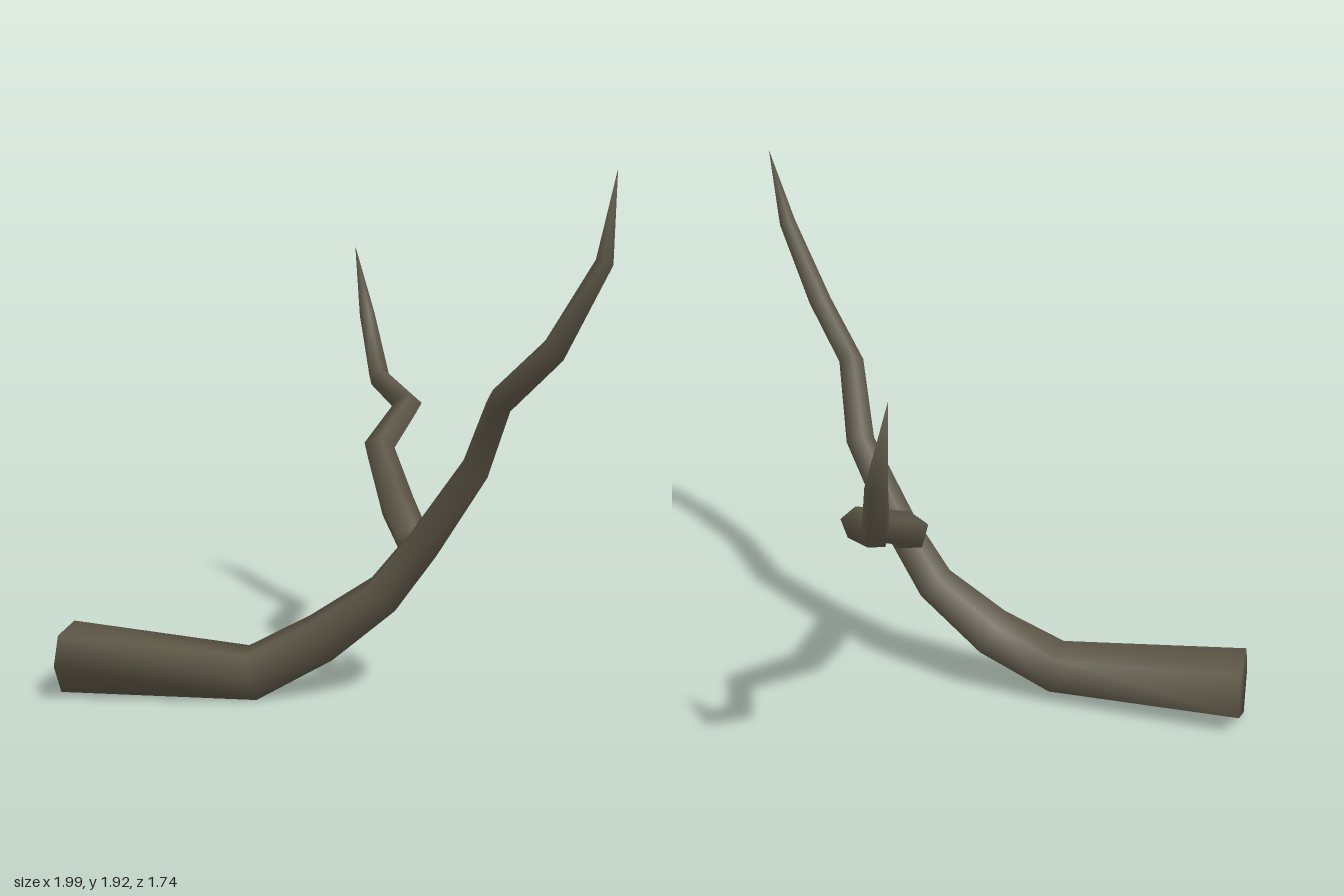
import * as THREE from 'three';

const bark = new THREE.MeshStandardMaterial({ color: 0x5d5747 });
bark.name = 'bark';
bark.side = THREE.DoubleSide;

// Tapering limb: five-sided rings carried along a path of [x, y, z, radius]; the last point is the tip.
function limb(name, path, angles) {
  const pts = path.map(([x, y, z]) => new THREE.Vector3(x, y, z));
  const n = angles.length, last = pts.length - 1;
  const pos = [], index = [];
  let side = null;
  for (let i = 0; i < last; i++) {
    const t = pts[i + 1].clone().sub(pts[i]).normalize();
    if (i > 0) t.add(pts[i].clone().sub(pts[i - 1]).normalize()).normalize();
    if (!side) side = new THREE.Vector3().crossVectors(t, new THREE.Vector3(0, 1, 0));
    side.addScaledVector(t, -side.dot(t)).normalize();
    const up = new THREE.Vector3().crossVectors(side, t);
    for (const deg of angles) {
      const a = THREE.MathUtils.degToRad(deg), r = path[i][3];
      const p = pts[i].clone().addScaledVector(side, r * Math.cos(a)).addScaledVector(up, r * Math.sin(a));
      pos.push(p.x, p.y, p.z);
    }
  }
  const tip = last * n;
  pos.push(...pts[last].toArray());
  for (let i = 0; i < last; i++) {
    for (let j = 0; j < n; j++) {
      const k = (j + 1) % n, a = i * n + j, b = i * n + k;
      if (i === last - 1) index.push(a, tip, b);
      else index.push(a, a + n, b, b, a + n, b + n);
    }
  }
  // cut end
  for (let j = 1; j < n - 1; j++) index.push(0, j, j + 1);

  const geo = new THREE.BufferGeometry();
  geo.setAttribute('position', new THREE.Float32BufferAttribute(pos, 3));
  geo.setIndex(index);
  geo.computeVertexNormals();
  const mesh = new THREE.Mesh(geo, bark);
  mesh.name = name;
  return mesh;
}

export function createModel() {
  const group = new THREE.Group();
  group.name = 'branch';

  // thick cut end, bend on the ground, then rising to a pointed tip
  group.add(limb('mainBranch', [
    [-0.92, 0.15, 0.755, 0.143],
    [-0.345, 0.105, 0.345, 0.11],
    [-0.16, 0.235, 0.175, 0.102],
    [0.035, 0.405, 0.05, 0.083],
    [0.19, 0.61, 0.0, 0.072],
    [0.4, 0.9, -0.03, 0.06],
    [0.57, 1.155, 0.055, 0.052],
    [0.795, 1.34, 0.068, 0.049],
    [0.965, 1.63, 0.037, 0.035],
    [0.97, 1.925, -0.03, 0],
  ], [-153, -75, -4, 43, 135]));

  // side shoot leaving the main branch toward the back
  group.add(limb('sideBranch', [
    [0.13, 0.61, -0.015, 0.066],
    [-0.05, 0.71, -0.13, 0.071],
    [-0.295, 0.868, -0.315, 0.063],
    [-0.385, 1.01, -0.6, 0.055],
    [-0.645, 1.1, -0.71, 0.046],
    [-0.825, 1.35, -0.835, 0.036],
    [-0.9, 1.65, -0.845, 0],
  ], [-126, -54, 18, 90, 162]));

  return group;
}
